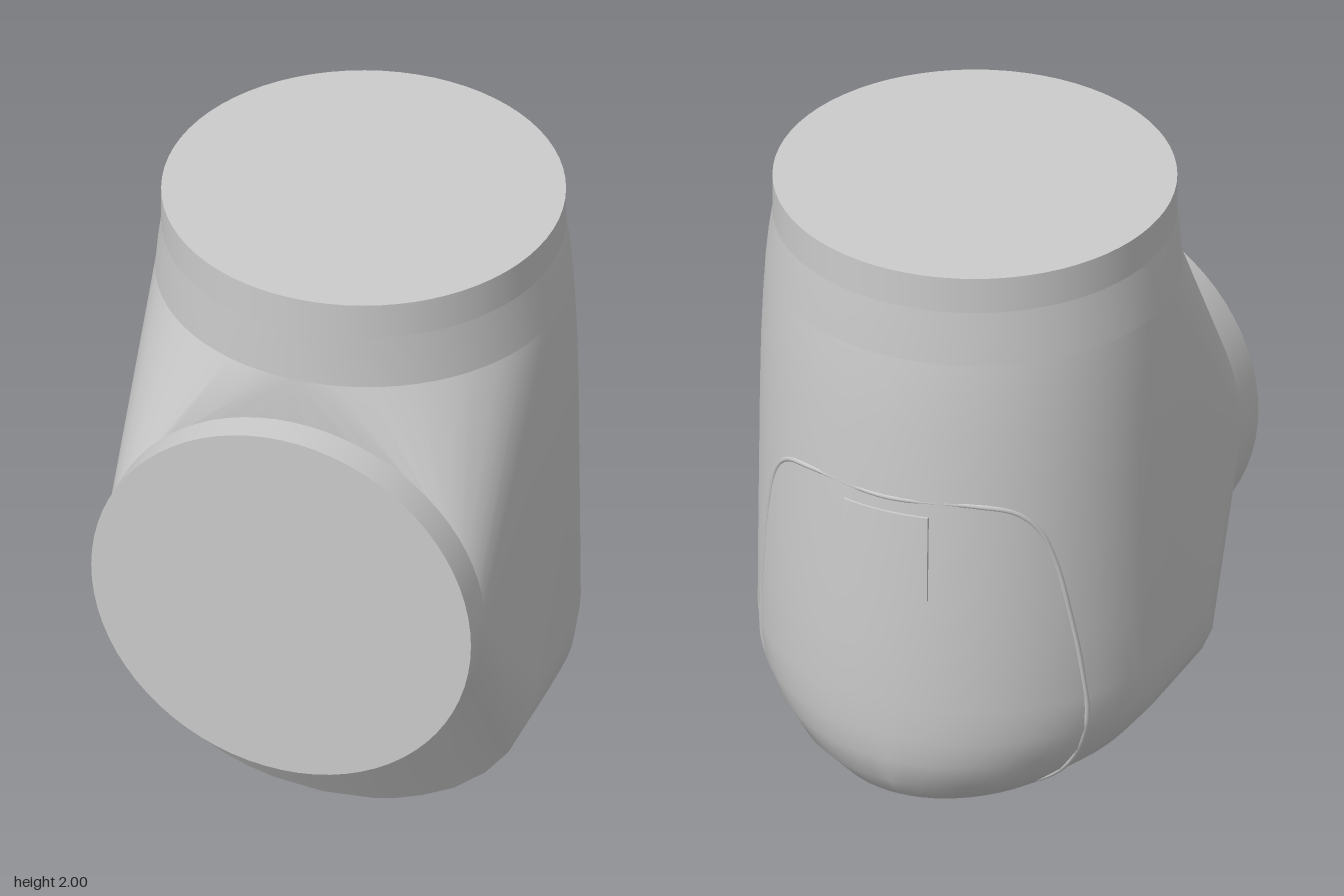
import * as THREE from 'three';
import { toCreasedNormals } from 'three/addons/utils/BufferGeometryUtils.js';
import { ConvexGeometry } from 'three/addons/geometries/ConvexGeometry.js';

const V = (x, y, z) => new THREE.Vector3(x, y, z);
const AXIS_Z = -0.025; // centre of the vertical collar
const PORT_Y = 0.935; // centre height of the front port
const R = 0.61;

// Housing rows from bottom to top: height, half width, rear z, front edge of the side wall
const ROWS = [
  [0.005, 0.0, -0.05, 0.33], [0.02, 0.16, -0.2, 0.33], [0.04, 0.24, -0.34, 0.33],
  [0.07, 0.32, -0.47, 0.33], [0.12, 0.42, -0.57, 0.328], [0.2, 0.52, -0.635, 0.325],
  [0.29, 0.593, -0.664, 0.32], [0.38, 0.635, -0.675, 0.305], [0.5, 0.654, -0.681, 0.245],
  [0.7, 0.652, -0.683, 0.11], [0.9, 0.65, -0.68, 0.0], [1.05, 0.649, -0.677, -0.02],
  [1.25, 0.648, -0.671, -0.025], [1.45, 0.645, -0.664, -0.025], [1.6, 0.639, -0.655, -0.025],
];

// Width and rear position at any height
function rowAt(y) {
  let i = 0;
  while (i < ROWS.length - 2 && ROWS[i + 1][0] < y) i++;
  const t = (y - ROWS[i][0]) / (ROWS[i + 1][0] - ROWS[i][0]);
  return ROWS[i].map((v, k) => THREE.MathUtils.lerp(v, ROWS[i + 1][k], t));
}

// Full horizontal ring
function ring(y, halfWidth, front, back, n = 72) {
  const c = (front + back) / 2, d = (front - back) / 2;
  return Array.from({ length: n }, (_, i) => {
    const a = (i / n) * Math.PI * 2;
    return V(halfWidth * Math.cos(a), y, c + d * Math.sin(a));
  });
}

const hull = (points) => toCreasedNormals(new ConvexGeometry(points), 0.5);

export function createModel() {
  const group = new THREE.Group();
  const material = new THREE.MeshStandardMaterial({ color: 0xcccccc });
  const add = (name, geometry) => {
    const mesh = new THREE.Mesh(geometry, material);
    mesh.name = name;
    group.add(mesh);
    return mesh;
  };

  // Main housing: rounded back and trough-shaped bottom blended into the front port
  const points = ring(1.7, 0.632, 0.585, -0.645);
  for (const [y, w, back, front] of ROWS) {
    points.push(V(w, y, front), V(-w, y, front));
    for (let i = 0; i <= 36; i++) {
      const a = (i / 36) * Math.PI;
      points.push(V(w * Math.cos(a), y, AXIS_Z + (back - AXIS_Z) * Math.sin(a)));
    }
  }
  for (let i = 0; i < 72; i++) {
    const a = (i / 72) * Math.PI * 2;
    const up = R * Math.sin(a);
    points.push(V(R * Math.cos(a), PORT_Y + up, 0.565 + 0.025 * (up / R)));
  }
  add('housing', hull(points));

  // Shoulder narrowing to the collar
  add('shoulder', hull([
    ...ring(1.7, 0.632, 0.585, -0.645),
    ...ring(1.79, 0.623, 0.585, -0.641),
    ...ring(1.88, R, 0.585, -0.635),
  ]));

  // Top collar and front port
  const collar = add('topCollar', new THREE.CylinderGeometry(R, R, 0.12, 72));
  collar.position.set(0, 1.94, AXIS_Z);
  const port = add('frontPort', new THREE.CylinderGeometry(R, R, 0.15, 72));
  port.rotation.x = Math.PI / 2;
  port.position.set(0, PORT_Y, 0.615);

  // Raised seam around the rear cover, following the housing surface
  const side = [[0.06, -0.33], [0.2, -0.35], [0.4, -0.38], [0.6, -0.405], [0.8, -0.435],
    [1.0, -0.47], [1.12, -0.505], [1.19, -0.55], [1.22, -0.61]].map(([y, z]) => {
    const [, w, back] = rowAt(y);
    const k = (z - AXIS_Z) / (back - AXIS_Z);
    return V(w * Math.sqrt(Math.max(0, 1 - k * k)), y, z);
  });
  const mirrored = side.map((p) => V(-p.x, p.y, p.z)).reverse();
  const seam = new THREE.CatmullRomCurve3(
    [V(0, 0.042, -0.33), ...side, V(0, 1.22, -0.671), ...mirrored], true);
  const seamMesh = add('rearCoverSeam', new THREE.TubeGeometry(seam, 160, 0.009, 8, true));
  seamMesh.scale.set(0.994, 1, 0.994);

  // Thin curved plate on the back
  const plate = new THREE.BoxGeometry(0.28, 0.29, 0.02, 12, 4, 1);
  const p = plate.attributes.position;
  for (let i = 0; i < p.count; i++) {
    const x = p.getX(i), y = p.getY(i) + 1.03;
    const [, w, back] = rowAt(y);
    p.setXYZ(i, x, y, AXIS_Z + (back - AXIS_Z) * Math.sqrt(1 - (x / w) ** 2) + p.getZ(i) * 0.8);
  }
  add('rearPlate', toCreasedNormals(plate, 0.6));

  return group;
}
